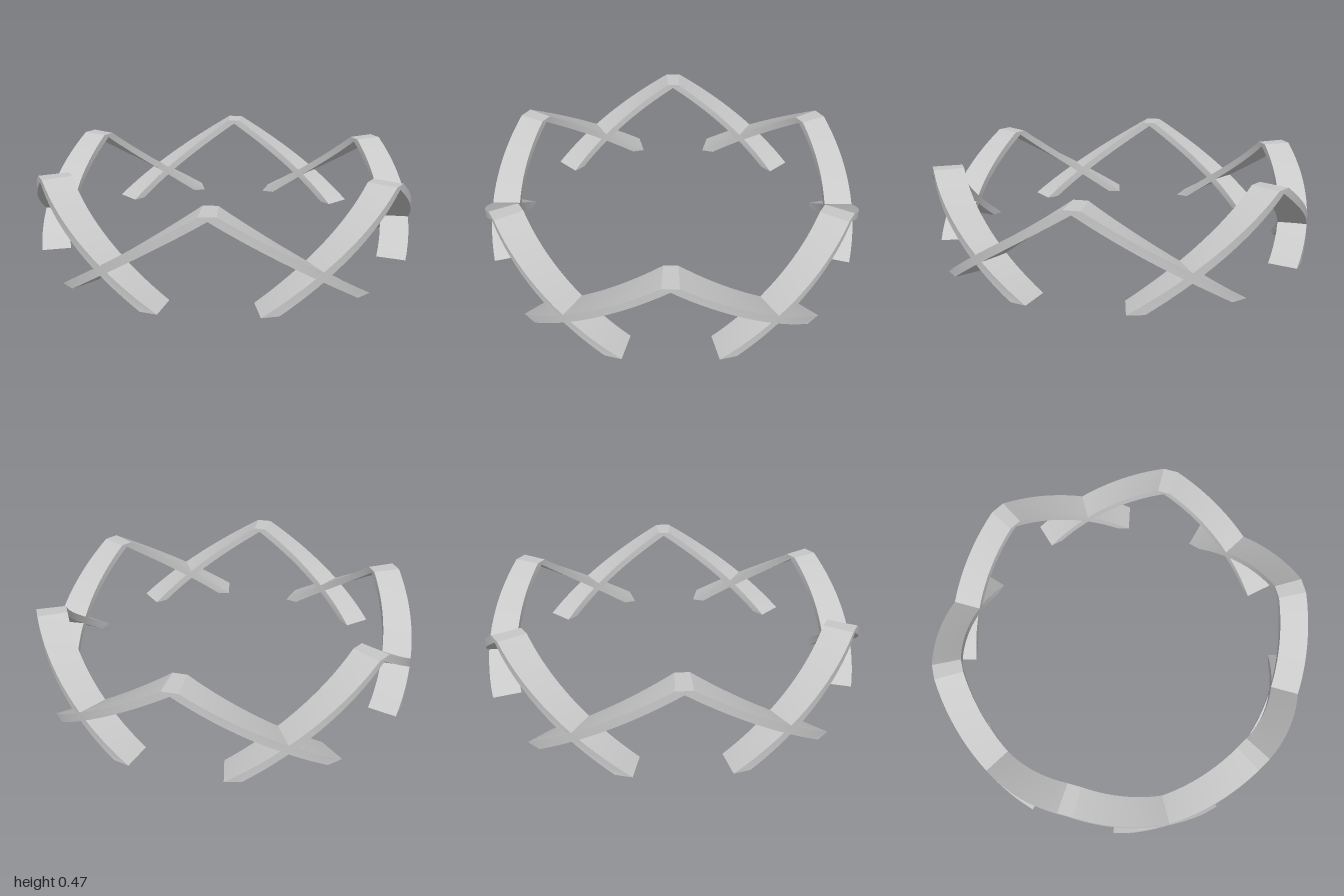
import * as THREE from 'three';
import { toCreasedNormals } from 'three/addons/utils/BufferGeometryUtils.js';

const OUTER = 1, INNER = 0.85, STEPS = 16;
const rad = THREE.MathUtils.degToRad;
const lerp = THREE.MathUtils.lerp;

// Four corners of an arm's cross-section; t runs from the peak (0) to the foot (1)
function section(t, side) {
  const at = (degrees, y, r) => {
    const a = rad(degrees) * side;
    return [r * Math.cos(a), y, r * Math.sin(a)];
  };
  const topAngle = lerp(2.3, 46.8, t), topY = lerp(0.47, 0, t);
  const lowAngle = lerp(0, 42, t), lowY = lerp(0.45, 0, t);
  return [
    at(topAngle, topY, OUTER), at(topAngle, topY, INNER),
    at(lowAngle, lowY, INNER), at(lowAngle, lowY, OUTER),
  ];
}

// A chevron bent around the ring: one arm up to the peak, the other down again
function chevronGeometry() {
  const sections = [];
  for (let i = STEPS; i >= 0; i--) sections.push(section(i / STEPS, -1));
  for (let i = 0; i <= STEPS; i++) sections.push(section(i / STEPS, 1));

  const positions = sections.flat(2);
  const index = [];
  const last = sections.length - 1;
  for (let s = 0; s < last; s++) {
    for (let k = 0; k < 4; k++) {
      const a = s * 4 + k, b = s * 4 + (k + 1) % 4;
      // the lower edges of both arms meet in one line under the peak
      if (k === 2 && s === STEPS) continue;
      index.push(a, b, a + 4, b, b + 4, a + 4);
    }
  }
  // flat feet
  const e = last * 4;
  index.push(2, 1, 0, 3, 2, 0, e, e + 1, e + 2, e, e + 2, e + 3);

  const geometry = new THREE.BufferGeometry();
  geometry.setAttribute('position', new THREE.Float32BufferAttribute(positions, 3));
  geometry.setIndex(index);
  return toCreasedNormals(geometry, 0.35);
}

export function createModel() {
  const model = new THREE.Group();
  model.name = 'crossedRing';
  const grey = new THREE.MeshStandardMaterial({ color: 0xc8c8c8 });
  grey.name = 'light grey';

  // Six chevrons whose feet cross their neighbours
  const geometry = chevronGeometry();
  for (let i = 0; i < 6; i++) {
    const chevron = new THREE.Mesh(geometry, grey);
    chevron.name = `chevron${i + 1}`;
    chevron.rotation.y = i * Math.PI / 3;
    model.add(chevron);
  }
  return model;
}
